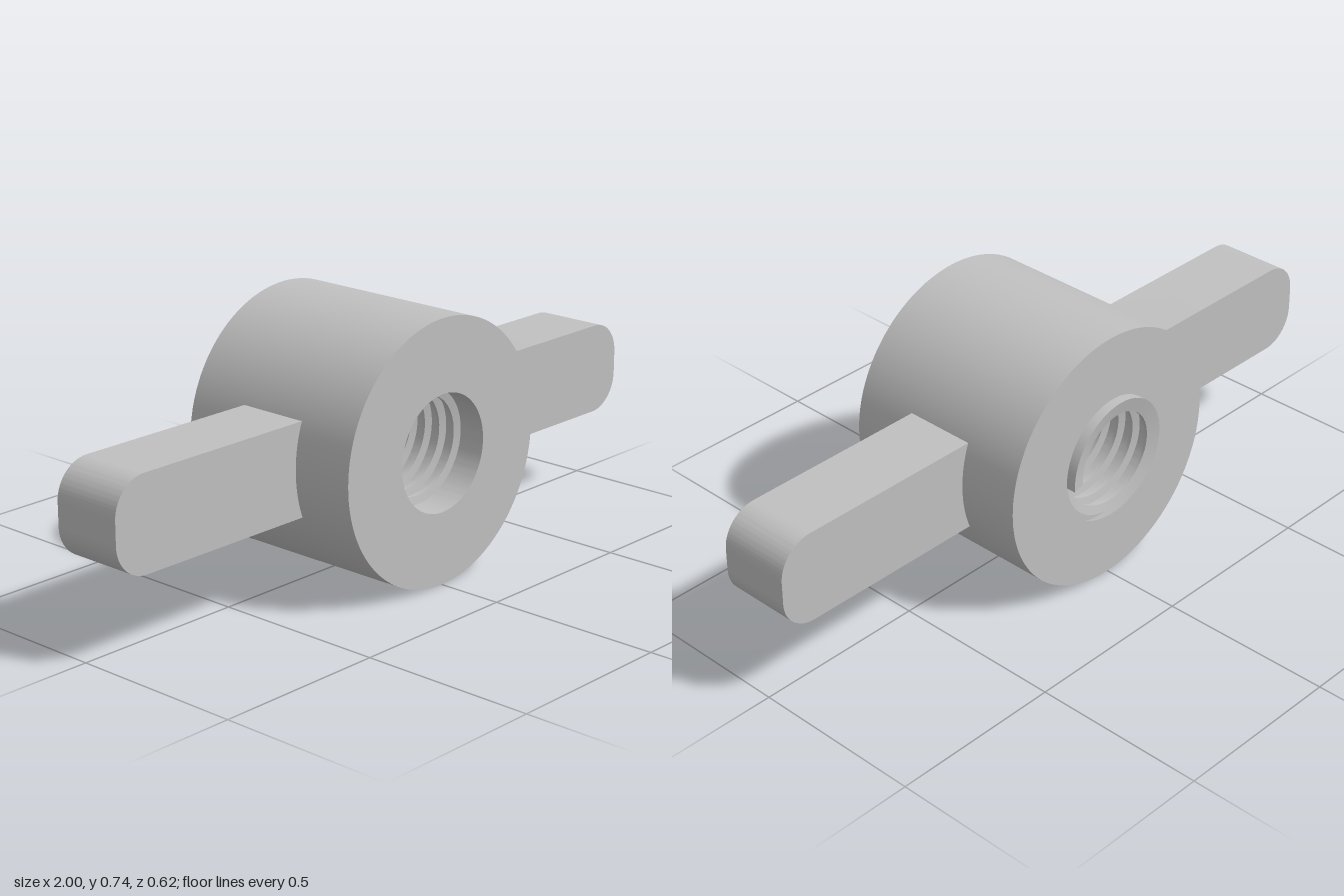
import * as THREE from 'three';
import { toCreasedNormals } from 'three/addons/utils/BufferGeometryUtils.js';

const AXIS_Y = 0.372;

// Ring-shaped hub with a bore, axis along z
function hubGeometry(outer, bore, back, front) {
  const profile = [[bore, back], [outer, back], [outer, front], [bore, front], [bore, back]]
    .map(([r, z]) => new THREE.Vector2(r, z));
  const geo = new THREE.LatheGeometry(profile, 128);
  geo.rotateX(Math.PI / 2);
  return toCreasedNormals(geo, 0.6);
}

// Trapezoid ridge swept along a helix, running from the front to the back
function threadGeometry(turns, pitch, zEnd) {
  const section = [[0.183, -0.014], [0.183, 0.014], [0.142, 0.005], [0.142, -0.005]];
  const steps = Math.round(turns * 48);
  const pos = [], index = [];
  for (let i = 0; i <= steps; i++) {
    const t = (i / steps) * turns;
    const a = (turns - t) * Math.PI * 2;
    const z = zEnd + (turns - t) * pitch;
    for (const [r, dz] of section) pos.push(r * Math.cos(a), r * Math.sin(a), z + dz);
  }
  for (let i = 0; i < steps; i++) {
    for (let j = 0; j < 4; j++) {
      const a = i * 4 + j, b = i * 4 + (j + 1) % 4;
      index.push(a, b, a + 4, b, b + 4, a + 4);
    }
  }
  const e = steps * 4;
  index.push(0, 2, 1, 0, 3, 2, e, e + 1, e + 2, e, e + 2, e + 3);
  const geo = new THREE.BufferGeometry();
  geo.setAttribute('position', new THREE.Float32BufferAttribute(pos, 3));
  geo.setIndex(index);
  return toCreasedNormals(geo, 0.5);
}

// Flat bar with rounded outer corners, pointing along +x
function wingGeometry(inner, tip, halfHeight, radius, back, front) {
  const s = new THREE.Shape();
  s.moveTo(inner, -halfHeight);
  s.lineTo(tip - radius, -halfHeight);
  s.absarc(tip - radius, -halfHeight + radius, radius, -Math.PI / 2, 0, false);
  s.absarc(tip - radius, halfHeight - radius, radius, 0, Math.PI / 2, false);
  s.lineTo(inner, halfHeight);
  s.closePath();
  const geo = new THREE.ExtrudeGeometry(s, { depth: front - back, bevelEnabled: false, curveSegments: 16 });
  geo.translate(0, 0, back);
  return toCreasedNormals(geo, 0.5);
}

export function createModel() {
  const metal = new THREE.MeshStandardMaterial({ color: 0xc0c0c0 });
  metal.name = 'light grey metal';
  const model = new THREE.Group();
  model.name = 'wingNut';

  const add = (name, geo) => {
    const mesh = new THREE.Mesh(geo, metal);
    mesh.name = name;
    mesh.position.y = AXIS_Y;
    model.add(mesh);
    return mesh;
  };

  add('hub', hubGeometry(0.372, 0.165, -0.265, 0.31));
  add('innerThread', threadGeometry(10.5, 0.0515, -0.294));

  // Wings, the right one turned half round about the hub axis
  const wing = wingGeometry(0.3, 1, 0.132, 0.1, -0.083, 0.126);
  add('leftWing', wing);
  add('rightWing', wing).rotation.z = Math.PI;

  return model;
}
